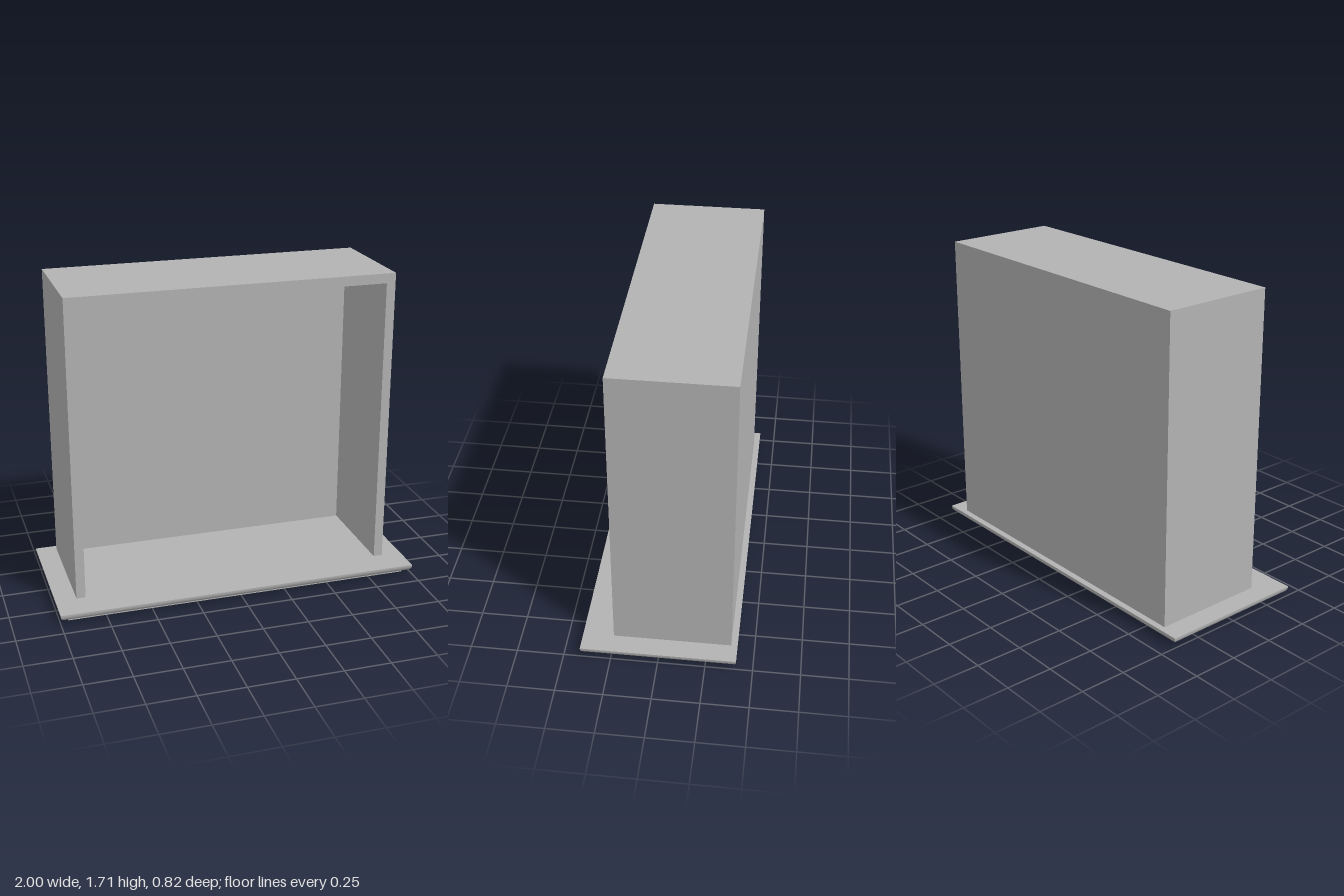
import * as THREE from 'three';

const HALF_X = 1, HALF_Z = 0.412, BASE_TOP = 0.055;

// Quarter-round edge swept around a rectangle with mitred corners
function edgeGeometry(profile) {
  const pos = [], index = [];
  const corners = [[-1, 1], [1, 1], [1, -1], [-1, -1]];
  for (let s = 0; s < 4; s++) {
    const a = corners[s], b = corners[(s + 1) % 4], start = pos.length / 3;
    profile.forEach(([inset, y], i) => {
      for (const c of [a, b]) pos.push(c[0] * (HALF_X - inset), y, c[1] * (HALF_Z - inset));
      if (i === 0) return;
      const k = start + 2 * (i - 1);
      index.push(k, k + 2, k + 1, k + 1, k + 2, k + 3);
    });
  }
  const geo = new THREE.BufferGeometry();
  geo.setAttribute('position', new THREE.Float32BufferAttribute(pos, 3));
  geo.setIndex(index);
  geo.computeVertexNormals();
  return geo;
}

export function createModel() {
  const group = new THREE.Group();
  const grey = new THREE.MeshStandardMaterial({ color: 0xb3b3b3 });
  grey.name = 'grey';
  const add = (name, geo, x = 0, y = 0, z = 0) => {
    const mesh = new THREE.Mesh(geo, grey);
    mesh.name = name;
    mesh.position.set(x, y, z);
    group.add(mesh);
    return mesh;
  };

  // Foot plate under the base
  add('footPlate', new THREE.BoxGeometry(1.91, 0.016, 0.74), 0, 0.008, 0);

  // Base slab: rounded lower edge, flat top and underside
  const inset = 0.036, low = 0.015, profile = [[0, BASE_TOP]];
  for (let i = 0; i <= 10; i++) {
    const t = (i / 10) * Math.PI / 2;
    profile.push([inset * (1 - Math.cos(t)), low + 0.036 * (1 - Math.sin(t))]);
  }
  add('baseEdge', edgeGeometry(profile));
  add('baseTop', new THREE.PlaneGeometry(2 * HALF_X, 2 * HALF_Z), 0, BASE_TOP, 0).rotation.x = -Math.PI / 2;
  add('baseUnderside', new THREE.PlaneGeometry(2 * (HALF_X - inset), 2 * (HALF_Z - inset)), 0, low, 0).rotation.x = Math.PI / 2;

  // Side walls and roof as one arch-shaped frame, open at the front
  const w = 0.886, iw = 0.836, top = 1.71, itop = 1.657, back = -0.378, front = 0.248, panel = 0.05;
  const outline = [[-w, BASE_TOP], [-iw, BASE_TOP], [-iw, itop], [iw, itop], [iw, BASE_TOP], [w, BASE_TOP], [w, top], [-w, top]];
  const shape = new THREE.Shape(outline.map(([x, y]) => new THREE.Vector2(x, y)));
  add('frame', new THREE.ExtrudeGeometry(shape, { depth: front - back - panel, bevelEnabled: false }), 0, 0, back + panel);

  // Back panel
  add('backPanel', new THREE.BoxGeometry(2 * w, top - BASE_TOP, panel), 0, (top + BASE_TOP) / 2, back + panel / 2);

  return group;
}
